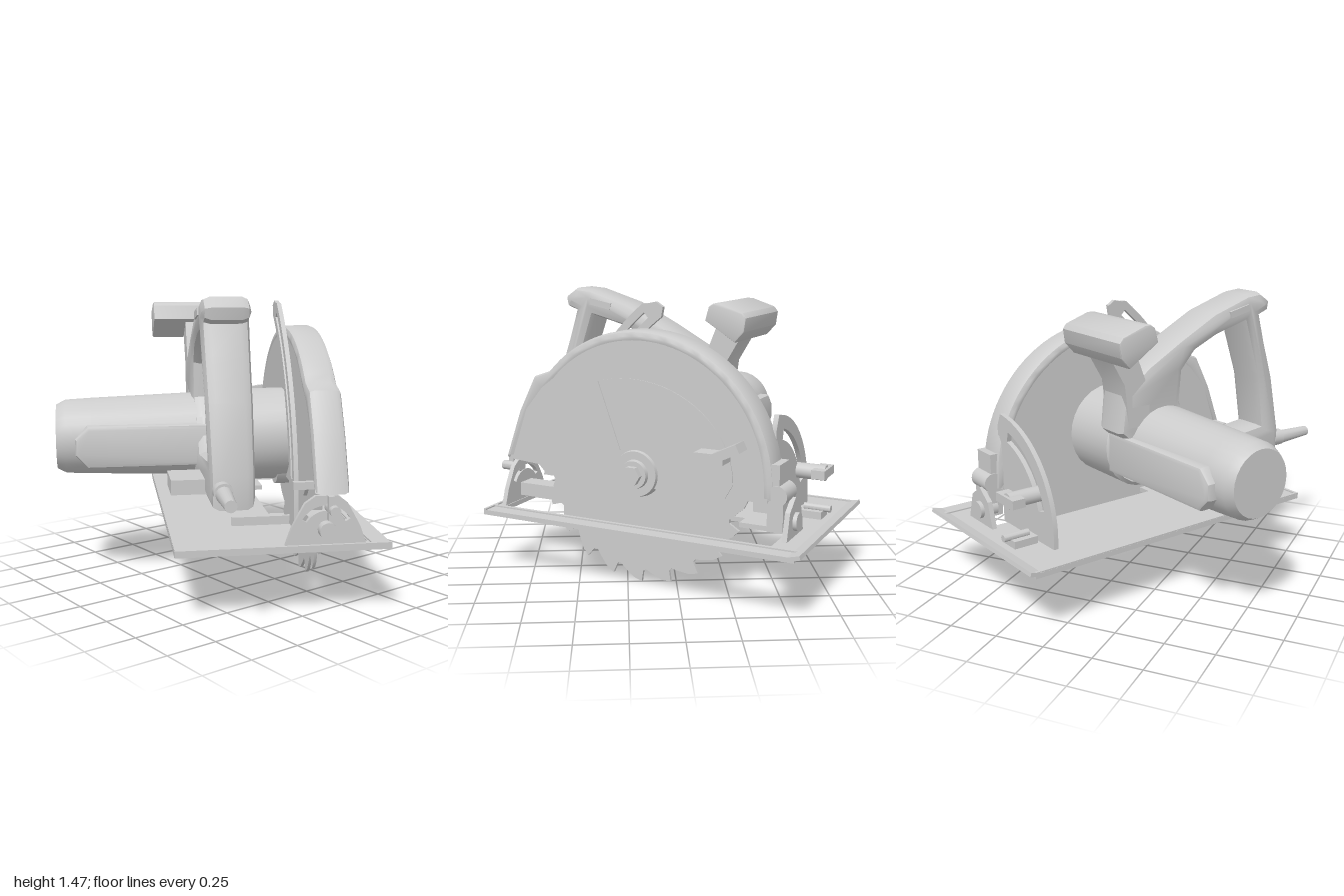
import * as THREE from 'three';
import { toCreasedNormals } from 'three/addons/utils/BufferGeometryUtils.js';

const grey = new THREE.MeshStandardMaterial({ color: 0xcccccc, side: THREE.DoubleSide });

export function createModel() {
  const root = new THREE.Group();
  const saw = new THREE.Group();
  saw.name = 'circularSaw';
  saw.rotation.y = -0.511;
  root.add(saw);

  const add = (name, geo, x = 0, y = 0, z = 0) => {
    const m = new THREE.Mesh(toCreasedNormals(geo, 0.6), grey);
    m.name = name;
    m.position.set(x, y, z);
    saw.add(m);
    return m;
  };
  const box = (name, w, h, d, x, y, z) => add(name, new THREE.BoxGeometry(w, h, d), x, y, z);
  const shapeOf = (pts, ...holes) => {
    const s = new THREE.Shape(pts.map(p => new THREE.Vector2(...p)));
    holes.forEach(h => s.holes.push(new THREE.Path(h.map(p => new THREE.Vector2(...p)))));
    return s;
  };
  const extrude = (shape, depth, bevel = 0) => {
    const g = new THREE.ExtrudeGeometry(shape, {
      depth: depth - 2 * bevel, bevelEnabled: bevel > 0, bevelThickness: bevel,
      bevelSize: bevel, bevelOffset: -bevel, bevelSegments: 2,
    });
    return g.translate(0, 0, bevel);
  };
  // Outline drawn in (z, y), extruded across x from x0 to x1
  const sideGeo = (shape, x0, x1, bevel = 0) =>
    extrude(shape, x1 - x0, bevel).rotateY(-Math.PI / 2).translate(x1, 0, 0);
  const sidePart = (name, ...args) => add(name, sideGeo(...args));
  // Outline drawn in (x, y), extruded along z from z0 to z1
  const crossPart = (name, shape, z0, z1) => add(name, extrude(shape, z1 - z0), 0, 0, z0);
  // Arc points, angles in degrees
  const arc = (cx, cy, r, a0, a1, n = 24) => Array.from({ length: n + 1 }, (_, i) => {
    const a = (a0 + (a1 - a0) * i / n) * Math.PI / 180;
    return [cx + r * Math.cos(a), cy + r * Math.sin(a)];
  });
  const band = (cx, cy, r0, r1, a0, a1) => [...arc(cx, cy, r1, a0, a1), ...arc(cx, cy, r0, a1, a0)];
  // Lathe profile given as [radius, x], turned about the x axis
  const turnX = (name, profile, y, seg = 28) => add(name, new THREE.LatheGeometry(
    profile.map(p => new THREE.Vector2(...p)), seg).rotateZ(-Math.PI / 2), 0, y, 0);
  const rodX = (name, r0, r1, len, x, y, z, seg = 24) =>
    add(name, new THREE.CylinderGeometry(r1, r0, len, seg).rotateZ(-Math.PI / 2), x, y, z);
  const rodZ = (name, r0, r1, len, x, y, z, seg = 20) =>
    add(name, new THREE.CylinderGeometry(r1, r0, len, seg).rotateX(Math.PI / 2), x, y, z);

  // Base plate with stepped blade opening and raised edges
  const plate = shapeOf(
    [[-0.445, -0.833], [0.554, -0.833], [0.554, 0.87], [-0.445, 0.87]],
    [[0.17, -0.77], [0.17, -0.2], [0.09, -0.2], [0.09, 0.45], [0.17, 0.45], [0.17, 0.72], [0.455, 0.72], [0.455, -0.77]]);
  add('basePlate', extrude(plate, 0.025).rotateX(-Math.PI / 2), 0, 0.322, 0);
  box('plateSideLip', 0.015, 0.032, 1.7, -0.437, 0.338, -0.017);
  box('plateRail', 0.02, 0.032, 1.7, 0.47, 0.338, -0.017);
  box('plateEndLip', 1, 0.032, 0.015, 0.054, 0.338, 0.826);
  box('plateNose', 1, 0.02, 0.06, 0.054, 0.344, -0.868).rotation.x = 0.25;
  box('plateRib', 0.34, 0.05, 0.025, 0.04, 0.365, 0.41);

  // Toothed blade
  const teeth = 22, bladePts = [];
  for (let i = 0; i < teeth; i++) {
    for (const [f, r] of [[0, 0.53], [0.06, 0.59], [0.35, 0.575], [0.7, 0.54], [0.88, 0.522]]) {
      const a = (i + f) / teeth * Math.PI * 2 - Math.PI / 2 - 0.02;
      bladePts.push([0.035 + r * Math.cos(a), 0.59 + r * Math.sin(a)]);
    }
  }
  sidePart('blade', shapeOf(bladePts), 0.29, 0.305);

  // Hollow upper guard: rim plus two side walls
  const guardLine = t => [[-0.695 + t, 0.52], ...arc(0.02, 0.59, 0.712 - t, 178, 42, 36),
    [0.64 - t, 1.035 - t], [0.735 - t, 0.85], [0.83 - t, 0.585]];
  sidePart('guardRim', shapeOf([...guardLine(0), ...guardLine(0.07).reverse()]), 0.195, 0.355, 0.028);
  const wall = shapeOf([...guardLine(0.03), [0.6, 0.57], [0.55, 0.52]]);
  sidePart('guardOuterWall', wall, 0.335, 0.353);
  sidePart('guardInnerWall', wall, 0.197, 0.215);
  const panelArc = (a0, a1, n) => arc(0, 0, 1, a0, a1, n).map(([c, s]) => [0.07 + 0.56 * c, 0.59 + 0.475 * s]);
  sidePart('guardPanel', shapeOf([...panelArc(180, 0, 36), [0.56, 0.52], [-0.45, 0.52]]), 0.345, 0.358);
  sidePart('lowerGuardSector', shapeOf([[0.12, 0.7], ...panelArc(72, 0, 14), [0.51, 0.54], [0.23, 0.64]]), 0.35, 0.363);

  // Blade flange and hex bolt
  rodX('bladeFlange', 0.125, 0.115, 0.04, 0.355, 0.59, 0.03, 32);
  rodX('boltWasher', 0.075, 0.07, 0.025, 0.383, 0.59, 0.03);
  rodX('hexBolt', 0.05, 0.05, 0.04, 0.405, 0.59, 0.03, 6);

  // Retracting lever on the guard face
  box('guardLeverArm', 0.1, 0.05, 0.15, 0.4, 0.73, -0.4);
  box('guardLeverTip', 0.1, 0.045, 0.15, 0.425, 0.765, -0.49).rotation.x = 0.45;
  box('guardStop', 0.1, 0.035, 0.03, 0.15, 0.62, 0.77);

  // Motor body with side panels and gear housing
  turnX('motor', [[0, -0.975], [0.165, -0.975], [0.188, -0.93], [0.195, -0.8], [0.22, -0.12], [0.22, 0.2]], 0.745);
  const flank = shapeOf([[-0.88, -0.04], [-0.82, -0.105], [-0.12, -0.105], [-0.12, 0.105], [-0.82, 0.105], [-0.88, 0.04]]);
  for (const s of [-1, 1]) add('motorSidePanel', extrude(flank, 0.1, 0.02), 0, 0.72, s * 0.182 - 0.05);
  turnX('gearHousing', [[0.22, -0.14], [0.24, -0.12], [0.24, 0.2]], 0.735);
  rodX('bladeArbor', 0.12, 0.12, 0.2, 0.25, 0.59, 0.03);

  // Main D-shaped handle, slimmer toward its foot
  const handle = shapeOf(
    [[0.83, 0.53], [0.835, 0.68], [0.76, 1.0], [0.69, 1.2], [0.645, 1.345], [0.7, 1.365], [0.71, 1.42], [0.64, 1.467],
      [0.55, 1.46], [0.32, 1.39], [0.1, 1.28], [-0.1, 1.17], [-0.24, 1.06], [-0.26, 0.85], [0.1, 0.53]],
    [[0.69, 0.73], [0.645, 1.0], [0.535, 1.32], [0.34, 1.27], [0.2, 1.21], [0.12, 1.12], [0.11, 0.95],
      [0.2, 0.86], [0.26, 0.69]]);
  const handleGeo = sideGeo(handle, -0.3, -0.075, 0.042);
  const hp = handleGeo.attributes.position;
  for (let i = 0; i < hp.count; i++) {
    const k = THREE.MathUtils.clamp((1.35 - hp.getY(i)) / 0.7, 0, 1);
    hp.setX(i, -0.11 + (hp.getX(i) + 0.11) * (1 - 0.1 * k));
  }
  add('mainHandle', handleGeo);
  box('handleButton', 0.235, 0.035, 0.13, -0.19, 1.385, 0.48).rotation.x = -0.2;
  box('handleFootWing', 0.17, 0.07, 0.235, -0.355, 0.59, 0.485);

  // Power cord sleeve
  rodZ('cordCollar', 0.045, 0.045, 0.07, -0.23, 0.62, 0.85);
  rodZ('cordSleeve', 0.04, 0.027, 0.26, -0.23, 0.615, 0.97);

  // Auxiliary cross handle with neck
  const grip = shapeOf([[-0.18, 1.33], [-0.2, 1.4], [-0.225, 1.417], [-0.26, 1.417], [-0.385, 1.375],
    [-0.405, 1.35], [-0.395, 1.28], [-0.345, 1.225]].reverse());
  sidePart('auxHandle', grip, -0.46, 0.01, 0.008);
  const neck = shapeOf([[-0.35, 1.27], [-0.22, 1.34], [-0.1, 1.05], [-0.1, 0.88], [-0.22, 0.88], [-0.25, 1.1]]);
  sidePart('auxHandleNeck', neck, -0.29, -0.1);

  // Slotted depth arm curved beside the guard
  const arm = [...arc(-0.72, 0.42, 1.285, -3, 51), [0.06, 1.42], [0.015, 1.43], [-0.025, 1.405],
    ...arc(-0.72, 0.42, 1.17, 53, -3)];
  sidePart('depthArm', shapeOf(arm, band(-0.72, 0.42, 1.21, 1.245, 8, 50)), 0.15, 0.172);

  // Large slotted bevel quadrant at the nose
  crossPart('noseQuadrant', shapeOf([[0.2, 0.345], [0.235, 0.85], ...arc(0.25, 0.4, 0.52, 95, 178), [-0.27, 0.345]],
    band(0.25, 0.4, 0.4, 0.455, 105, 165)), -0.66, -0.635);
  rodZ('bevelClamp', 0.04, 0.04, 0.18, -0.1, 0.58, -0.72);
  box('bevelClampLever', 0.16, 0.045, 0.07, -0.1, 0.585, -0.79);
  box('fenceClampBlock', 0.1, 0.04, 0.13, -0.1, 0.365, -0.74);
  rodZ('fenceScrew', 0.018, 0.018, 0.14, -0.1, 0.395, -0.77);

  // Small bevel bracket at the tail
  crossPart('tailBracket', shapeOf([[0.06, 0.345], [0.09, 0.43], [0.15, 0.54], [0.2, 0.575], [0.3, 0.575], [0.35, 0.54],
    [0.41, 0.43], [0.44, 0.345]], band(0.25, 0.4, 0.105, 0.13, 30, 150)), 0.775, 0.8);
  rodZ('tailPivot', 0.04, 0.04, 0.07, 0.25, 0.42, 0.815);
  rodZ('tailBolt', 0.025, 0.025, 0.12, 0.27, 0.52, 0.84);
  box('tailBoltLever', 0.03, 0.11, 0.03, 0.26, 0.53, 0.85);
  box('tailHingeArm', 0.1, 0.07, 0.26, 0.25, 0.405, 0.66);

  // Nose hinge between guard and plate
  crossPart('noseBracket', shapeOf([[0.13, 0.345], [0.17, 0.48], [0.25, 0.54], [0.33, 0.48], [0.37, 0.345]]), -0.77, -0.745);
  rodZ('nosePivot', 0.045, 0.045, 0.1, 0.25, 0.42, -0.74);
  box('noseHingeBlock', 0.13, 0.24, 0.13, 0.28, 0.59, -0.655);
  box('noseHingeFoot', 0.13, 0.14, 0.08, 0.28, 0.45, -0.7);
  rodX('noseHingePin', 0.05, 0.05, 0.14, 0.28, 0.56, -0.71);

  return root;
}
